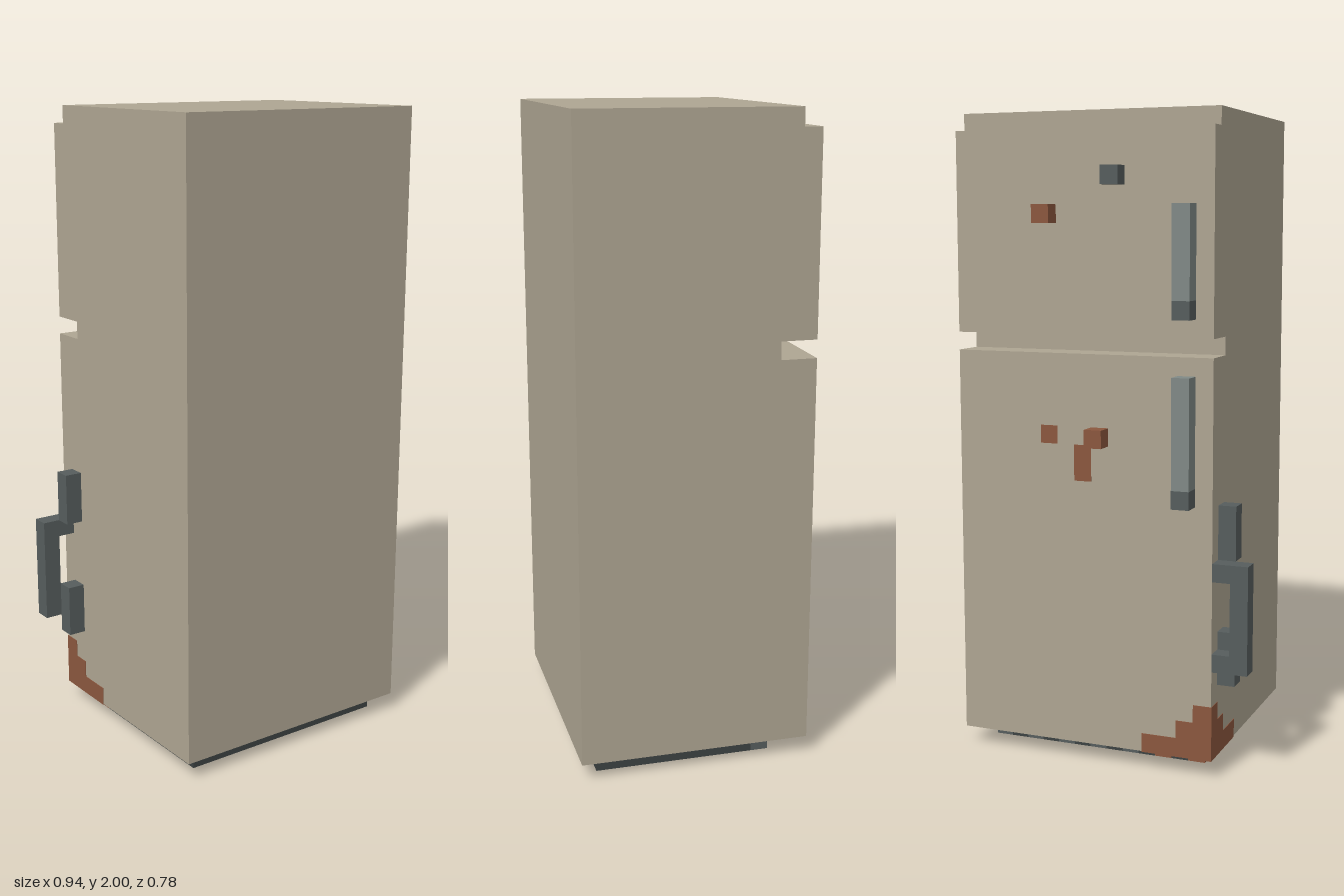
import * as THREE from 'three';

const U = 2 / 36; // one grid cell
const mat = (name, color) => {
  const m = new THREE.MeshStandardMaterial({ color });
  m.name = name;
  return m;
};

export function createModel() {
  const group = new THREE.Group();
  const beige = mat('beige enamel', 0xaea592);
  const steel = mat('light steel', 0x808986);
  const grey = mat('dark grey', 0x565d5d);
  const black = mat('charcoal', 0x3c4242);
  const rust = mat('rust', 0x8b573e);

  // Box between two grid corners, optionally grown by g on every side
  const box = (name, m, a, b, g = 0) => {
    const s = b.map((v, i) => (v - a[i]) * U + 2 * g);
    const mesh = new THREE.Mesh(new THREE.BoxGeometry(...s), m);
    mesh.position.set(
      ((a[0] + b[0]) / 2 - 8.5) * U,
      ((a[1] + b[1]) / 2) * U,
      ((a[2] + b[2]) / 2 - 7) * U
    );
    mesh.name = name;
    group.add(mesh);
    return mesh;
  };

  // Cabinet: side profile with the door gap and top step, extruded across the width
  const profile = [[14, 1], [1, 1], [1, 23], [3, 23], [3, 24], [1, 24], [1, 35], [2, 35], [2, 36], [14, 36]];
  const shape = new THREE.Shape(profile.map(([z, y]) => new THREE.Vector2((7 - z) * U, y * U)));
  const cabinetGeo = new THREE.ExtrudeGeometry(shape, { depth: 15 * U, bevelEnabled: false });
  cabinetGeo.rotateY(Math.PI / 2);
  const cabinet = new THREE.Mesh(cabinetGeo, beige);
  cabinet.position.x = (2 - 8.5) * U;
  cabinet.name = 'cabinet';
  group.add(cabinet);

  // Plinth with a striped grille along the door side
  box('plinth', black, [3, 0, 4], [16, 1, 13]);
  for (let i = 0; i < 13; i++) {
    const m = i % 2 ? black : i === 10 || i === 12 ? rust : grey;
    box('grilleSlat', m, [15 - i, 0, 3], [16 - i, 1, 4]);
  }

  // Door handles with dark lower ends
  for (const [name, y0, y1] of [['freezerHandle', 25, 31], ['fridgeHandle', 15, 22]]) {
    box(name, steel, [3, y0 + 1, 0], [4, y1, 1]);
    box(name + 'End', grey, [3, y0, 0], [4, y0 + 1, 1]);
  }

  // Magnets
  box('magnet', grey, [7, 32, 0], [8, 33, 1]);
  box('magnet', rust, [11, 30, 0], [12, 31, 1]);
  box('magnet', rust, [8, 18, 0], [9, 19, 1]);

  // Side bracket: two mounts and a loop grip
  box('bracketMountUpper', grey, [1, 12, 2], [2, 15, 3]);
  box('bracketMountLower', grey, [1, 5, 2], [2, 8, 3]);
  box('bracketGrip', grey, [0, 6, 1], [1, 12, 2]);
  for (const y of [6, 11]) box('bracketArm', grey, [1, y, 1], [2, y + 1, 2]);

  // Rust spots on the door
  const skin = 0.04;
  box('rustSpot', rust, [11, 18, 1 - skin], [12, 19, 1]);
  box('rustStreak', rust, [9, 16, 1 - skin], [10, 18, 1]);

  // Stepped rust patch wrapping the bottom corner
  [3, 2, 1, 1].forEach((h, i) => {
    box('cornerRustDoor', rust, [2 + i, 1, 1], [3 + i, 1 + h, 2], 0.002);
    if (i) box('cornerRustSide', rust, [2, 1, 1 + i], [3, 1 + h, 2 + i], 0.002);
  });

  return group;
}
